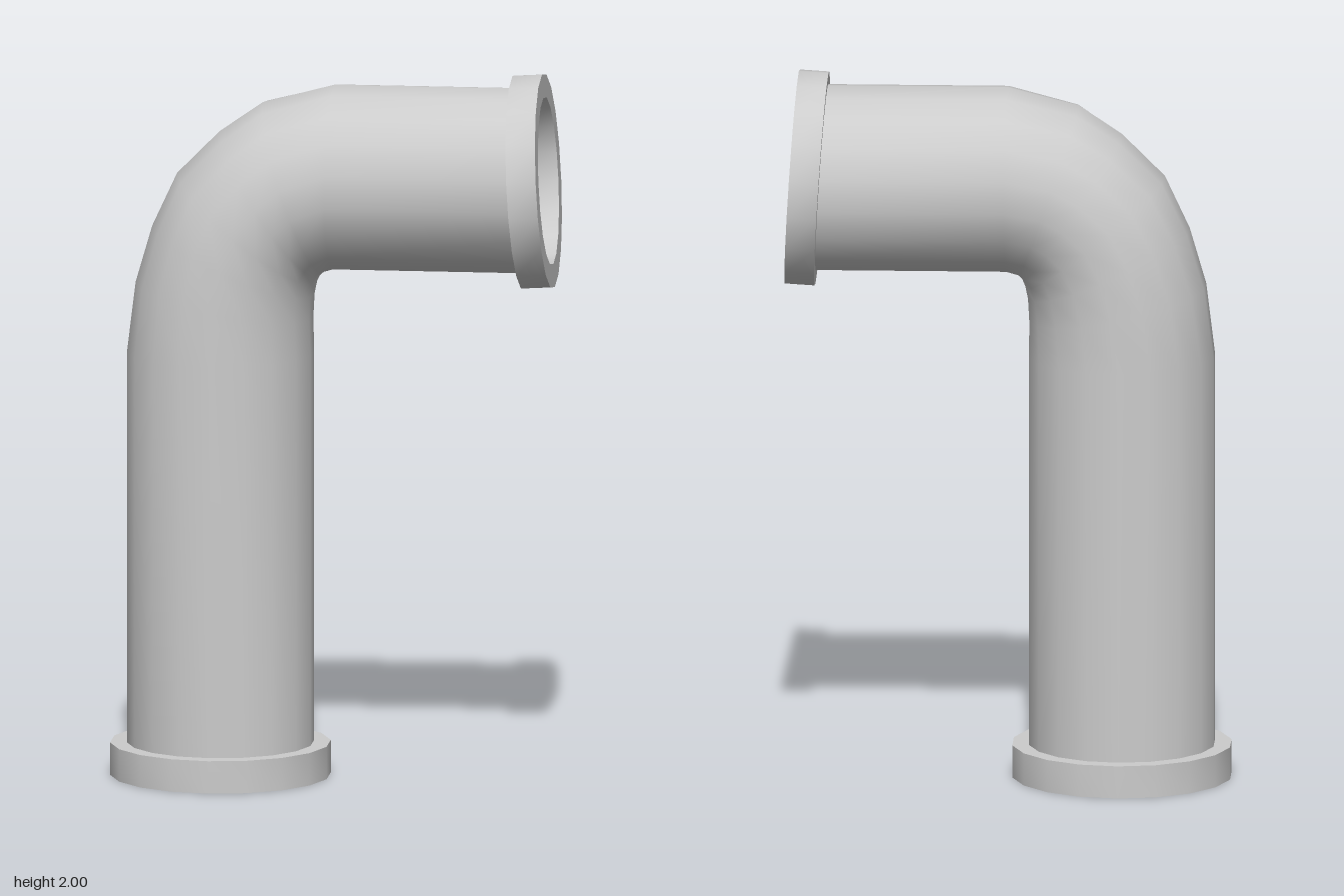
import * as THREE from 'three';
import { toCreasedNormals } from 'three/addons/utils/BufferGeometryUtils.js';

const SIDES = 18;
const OUTER = 0.262, BORE = 0.205;
const TILT = 0.06; // slight upward tilt of the outlet

const material = new THREE.MeshStandardMaterial({ color: 0xcccccc, side: THREE.DoubleSide });

// Pipe stations: [x, y] on the outside of the bend, [x, y] on the inside, twist 0..1
const stations = [
  [-0.582, 0.09, -0.058, 0.09, 0],
  [-0.582, 1.2, -0.058, 1.2, 0],
  [-0.557, 1.4, -0.06, 1.3, 0.15],
  [-0.51, 1.56, -0.057, 1.365, 0.3],
  [-0.44, 1.71, -0.05, 1.4, 0.45],
  [-0.32, 1.83, -0.042, 1.418, 0.6],
  [-0.2, 1.912, -0.03, 1.43, 0.8],
  [0, 1.964, 0, 1.44, 1],
  [0.516, 1.964, 0.548, 1.44, 1],
];

// One ring of points across the pipe, scaled for outer wall or bore
function ring([ox, oy, ix, iy, twist], scale) {
  const cx = (ox + ix) / 2, cy = (oy + iy) / 2;
  const phase = (1 - twist) * Math.PI / SIDES;
  const points = [];
  for (let j = 0; j < SIDES; j++) {
    const t = phase + (j / SIDES) * Math.PI * 2;
    const c = Math.cos(t) * scale;
    points.push(cx + (ox - cx) * c, cy + (oy - cy) * c, OUTER * Math.sin(t) * scale);
  }
  return points;
}

// Hollow pipe: up the outer wall, across the end, back down the bore
function pipeGeometry() {
  const rings = [
    ...stations.map((s) => ring(s, 1)),
    ...[...stations].reverse().map((s) => ring(s, BORE / OUTER)),
  ];
  const index = [];
  for (let i = 0; i < rings.length; i++) {
    const next = (i + 1) % rings.length;
    for (let j = 0; j < SIDES; j++) {
      const k = (j + 1) % SIDES;
      const a = i * SIDES + j, b = i * SIDES + k;
      const c = next * SIDES + k, d = next * SIDES + j;
      index.push(a, b, d, b, c, d);
    }
  }
  const geometry = new THREE.BufferGeometry();
  geometry.setAttribute('position', new THREE.Float32BufferAttribute(rings.flat(), 3));
  geometry.setIndex(index);
  return toCreasedNormals(geometry, 0.9);
}

// Square-edged collar with a through hole, standing on its local y = 0
function collarGeometry(radius, bore, height, phase) {
  const profile = [[bore, 0], [radius, 0], [radius, height], [bore, height], [bore, 0]]
    .map(([r, y]) => new THREE.Vector2(r, y));
  return toCreasedNormals(new THREE.LatheGeometry(profile, SIDES, phase), 0.9);
}

function addMesh(group, name, geometry) {
  const mesh = new THREE.Mesh(geometry, material);
  mesh.name = name;
  group.add(mesh);
  return mesh;
}

export function createModel() {
  const group = new THREE.Group();
  group.name = 'elbowPipe';

  addMesh(group, 'pipe', pipeGeometry());

  // Base collar
  const base = addMesh(group, 'baseCollar', collarGeometry(0.309, BORE, 0.092, 0));
  base.position.set(-0.32, 0, 0);

  // Outlet collar, wider than the pipe bore so the pipe end shows as a ledge
  const outlet = addMesh(group, 'outletCollar', collarGeometry(0.302, 0.236, 0.083, Math.PI / 2));
  outlet.rotation.z = -Math.PI / 2 + TILT;
  outlet.position.set(0.519, 1.698, 0);

  return group;
}
